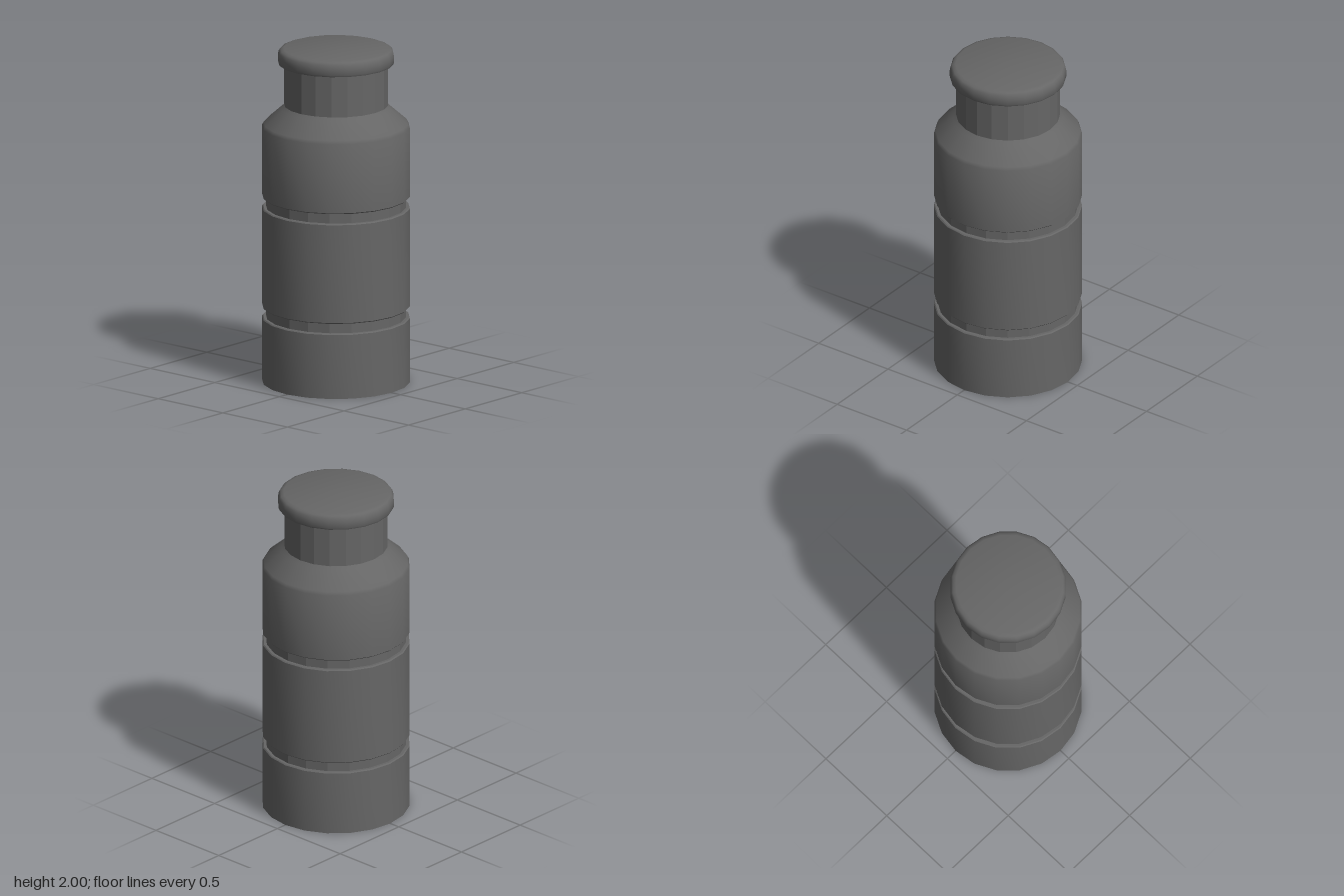
import * as THREE from 'three';
import { toCreasedNormals } from 'three/addons/utils/BufferGeometryUtils.js';

const SIDES = 20;
const smooth = new THREE.MeshStandardMaterial({ color: 0x666666 });
const faceted = new THREE.MeshStandardMaterial({ color: 0x666666, flatShading: true });

// Revolve a bottom-to-top profile of [radius, height] pairs
function turned(name, profile, flat = false) {
  const points = profile.map(([r, y]) => new THREE.Vector2(r, y));
  const lathe = new THREE.LatheGeometry(points, SIDES);
  const mesh = new THREE.Mesh(flat ? lathe : toCreasedNormals(lathe, 0.62), flat ? faceted : smooth);
  mesh.name = name;
  return mesh;
}

export function createModel() {
  const group = new THREE.Group();
  group.name = 'bottle';

  const R = 0.432, GROOVE = 0.41, NECK = 0.303, EDGE = 0.006;

  // Three body sections with slightly eased edges at the grooves
  group.add(turned('lowerBody', [
    [0, 0], [R, 0], [R, 0.39 - EDGE], [R - EDGE, 0.39], [GROOVE, 0.39],
  ]));
  group.add(turned('middleBody', [
    [GROOVE, 0.45], [R - EDGE, 0.45], [R, 0.45 + EDGE],
    [R, 1.05 - EDGE], [R - EDGE, 1.05], [GROOVE, 1.05],
  ]));
  group.add(turned('upperBodyAndShoulder', [
    [GROOVE, 1.11], [R - EDGE, 1.11], [R, 1.11 + EDGE],
    [R, 1.53], [0.422, 1.55], [0.32, 1.64], [NECK, 1.66],
  ]));

  // Recessed bands
  for (const [name, y0, y1] of [['lowerGroove', 0.39, 0.45], ['upperGroove', 1.05, 1.11]]) {
    group.add(turned(name, [[GROOVE, y0], [GROOVE, y1]], true));
  }

  // Neck and lid
  group.add(turned('neck', [[NECK, 1.66], [NECK, 1.91]], true));
  group.add(turned('lid', [
    [NECK, 1.91], [0.335, 1.91], [0.34, 1.92], [0.34, 1.955],
    [0.335, 1.98], [0.325, 1.993], [0.305, 2], [0, 2],
  ]));

  return group;
}
